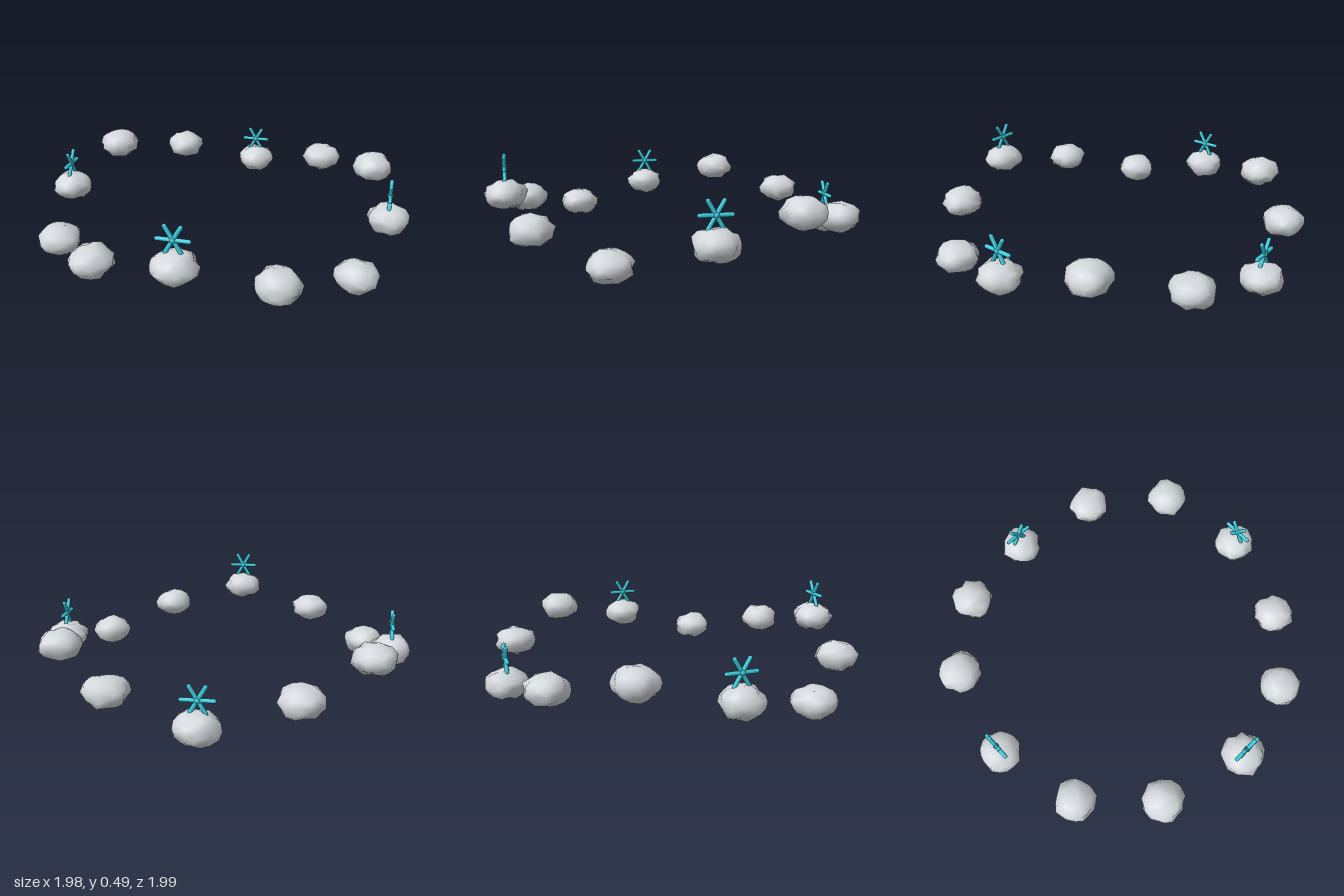
import * as THREE from 'three';
import { mergeVertices } from 'three/addons/utils/BufferGeometryUtils.js';

const stone = new THREE.MeshStandardMaterial({ color: 0xd3d7db });
stone.name = 'pale grey stone';
const teal = new THREE.MeshStandardMaterial({ color: 0x38cfe0 });
teal.name = 'teal crystal';

// Small seeded generator for the stone bumps
function seeded(seed) {
  let s = seed;
  return () => {
    s = (s * 16807) % 2147483647;
    return s / 2147483647;
  };
}

// Flattened, lumpy stone with smooth normals
function makeStone(seed) {
  const rand = seeded(seed);
  let geo = new THREE.IcosahedronGeometry(1, 2);
  geo.deleteAttribute('normal');
  geo.deleteAttribute('uv');
  geo = mergeVertices(geo, 1e-3);
  const pos = geo.attributes.position;
  const v = new THREE.Vector3();
  for (let i = 0; i < pos.count; i++) {
    v.fromBufferAttribute(pos, i).multiplyScalar(0.89 + 0.2 * rand());
    pos.setXYZ(i, v.x * 0.109, v.y * 0.079, v.z * 0.109);
  }
  geo.computeVertexNormals();
  const mesh = new THREE.Mesh(geo, stone);
  mesh.name = 'stone';
  return mesh;
}

// Six-armed star: three crossed rods and a round hub
function makeStar() {
  const star = new THREE.Group();
  star.name = 'star';
  const rodGeo = new THREE.CapsuleGeometry(0.0105, 0.146, 3, 8);
  for (let k = 0; k < 3; k++) {
    const rod = new THREE.Mesh(rodGeo, teal);
    rod.name = 'starRod';
    rod.rotation.z = Math.PI / 2 + (k * Math.PI) / 3;
    star.add(rod);
  }
  const hub = new THREE.Mesh(new THREE.SphereGeometry(0.016, 10, 8), teal);
  hub.name = 'starHub';
  star.add(hub);
  return star;
}

export function createModel() {
  const model = new THREE.Group();
  model.name = 'floatingStoneRing';
  // Twelve stones on a ring that rises and falls three times
  for (let i = 0; i < 12; i++) {
    const a = (i * Math.PI) / 6;
    const unit = new THREE.Group();
    unit.name = 'ringStone';
    unit.position.set(Math.cos(a) * 0.885, 0.18 - 0.1 * Math.sin(3 * a), Math.sin(a) * 0.885);
    unit.add(makeStone(1234567 + i * 76543));
    // Every third stone carries a star facing outward
    if (i % 3 === 0) {
      const star = makeStar();
      star.position.y = 0.132;
      star.rotation.y = Math.PI / 2 - a;
      unit.add(star);
    }
    model.add(unit);
  }
  return model;
}
